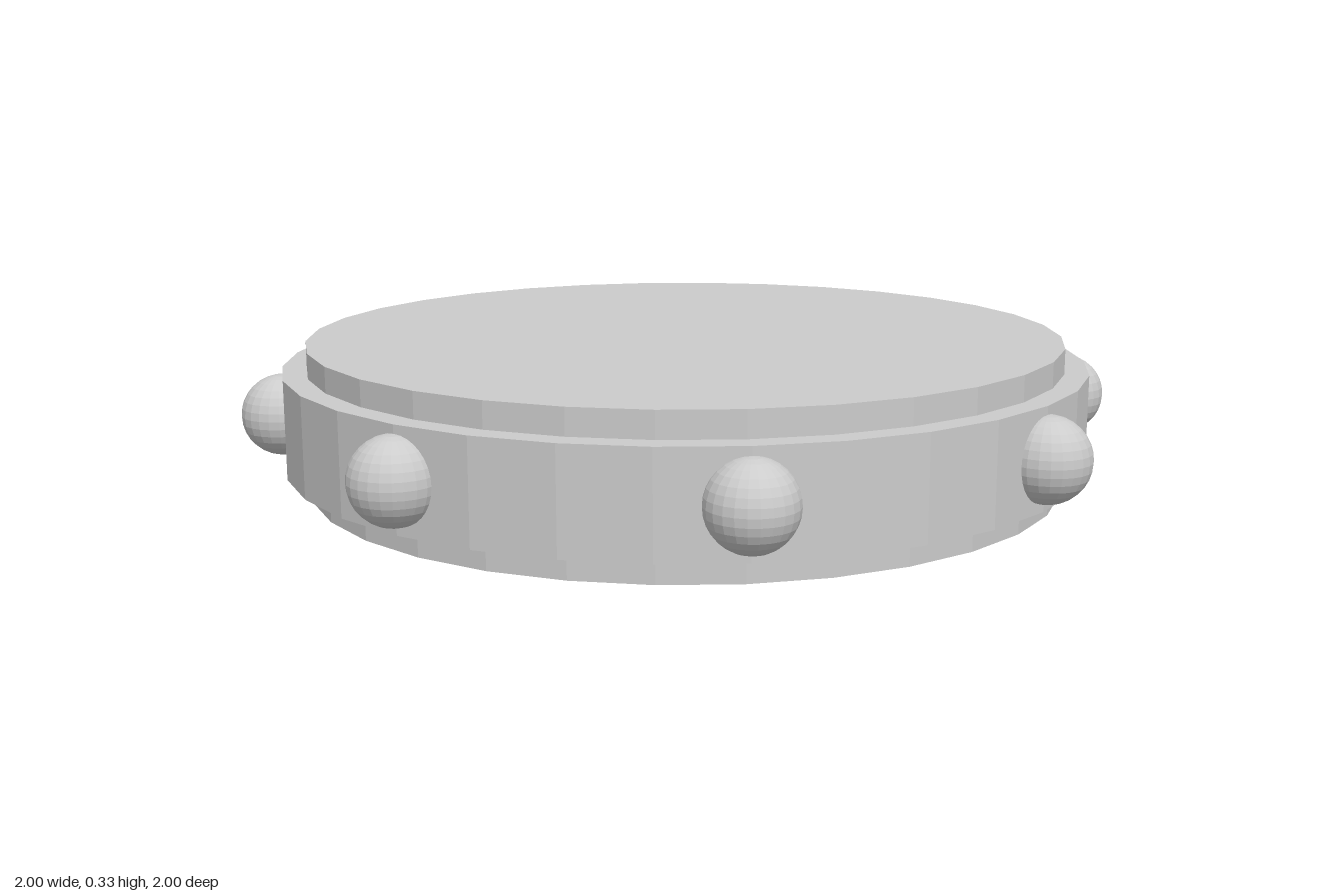
import * as THREE from 'three';

export function createModel() {
  const model = new THREE.Group();
  model.name = 'studdedDisc';
  const material = new THREE.MeshStandardMaterial({ color: 0xcccccc, flatShading: true });
  const height = 0.33;

  const add = (name, geometry, x = 0, z = 0) => {
    const mesh = new THREE.Mesh(geometry, material);
    mesh.name = name;
    mesh.position.set(x, height / 2, z);
    model.add(mesh);
    return mesh;
  };

  // inner drum and the wider band around it
  add('drum', new THREE.CylinderGeometry(0.853, 0.853, height, 32));
  add('band', new THREE.CylinderGeometry(0.906, 0.906, 0.218, 32));

  // eight round studs sunk halfway into the band
  const studRadius = 0.091;
  const studs = 8;
  const stud = new THREE.SphereGeometry(studRadius, 24, 16);
  for (let i = 0; i < studs; i++) {
    const a = (i / studs) * Math.PI * 2;
    const r = 1 - studRadius;
    add('stud' + (i + 1), stud, Math.cos(a) * r, Math.sin(a) * r).rotation.y = -a;
  }
  return model;
}
